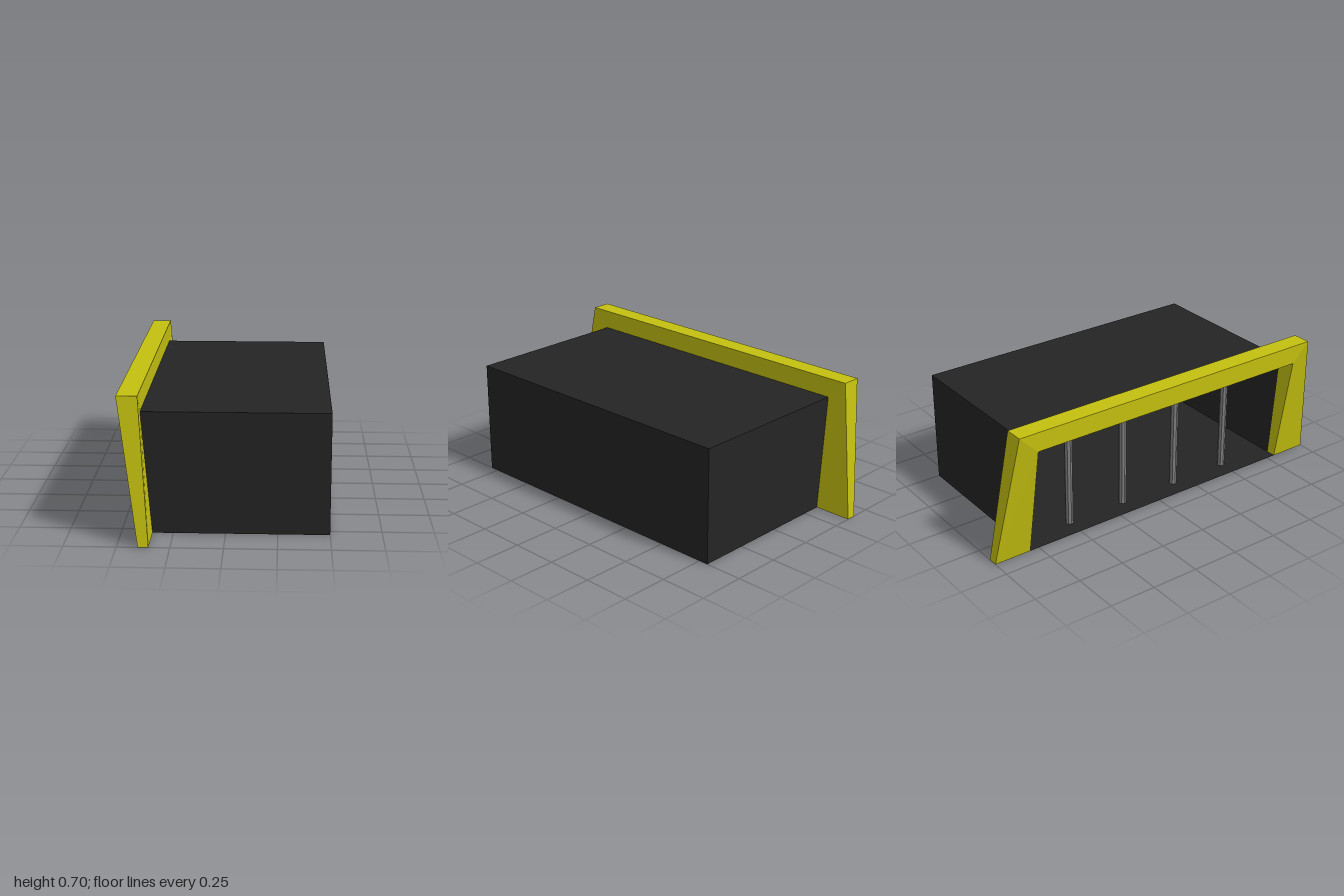
import * as THREE from 'three';

// Flat-shaded geometry from four-cornered faces; each list of quads becomes one material group
function quadGeometry(...lists) {
  const geo = new THREE.BufferGeometry();
  const pos = [];
  lists.forEach((quads, material) => {
    const start = pos.length / 3;
    for (const [a, b, c, d] of quads) pos.push(...a, ...b, ...c, ...a, ...c, ...d);
    geo.addGroup(start, pos.length / 3 - start, material);
  });
  geo.setAttribute('position', new THREE.Float32BufferAttribute(pos, 3));
  geo.computeVertexNormals();
  return geo;
}

export function createModel() {
  const yellow = new THREE.MeshStandardMaterial({ color: 0xc4c010 });
  yellow.name = 'yellow';
  const black = new THREE.MeshStandardMaterial({ color: 0x242424, side: THREE.DoubleSide });
  black.name = 'black';
  const grey = new THREE.MeshStandardMaterial({ color: 0x808080, flatShading: true });
  grey.name = 'grey';
  const model = new THREE.Group();
  model.name = 'barredBox';
  const add = (name, geo, material) => {
    const mesh = new THREE.Mesh(geo, material);
    mesh.name = name;
    model.add(mesh);
    return mesh;
  };

  // Leaning frame: cross-sections (outer front, outer back, inner back, inner front)
  // swept up one leg, across the top bar and down the other leg
  const foot = (s) => [[-0.4, 0, s], [-0.35, 0, s], [-0.35, 0, 0.8 * s], [-0.4, 0, 0.8 * s]];
  const corner = (s) => [[-0.5, 0.7, 0.9 * s], [-0.4, 0.7, 0.9 * s], [-0.4, 0.6, 0.8 * s], [-0.5, 0.6, 0.8 * s]];
  const sections = [foot(1), corner(1), corner(-1), foot(-1)];
  const sides = [];
  for (let i = 0; i < 3; i++) {
    for (let k = 0; k < 4; k++) {
      const n = (k + 1) % 4;
      sides.push([sections[i][k], sections[i][n], sections[i + 1][n], sections[i + 1][k]]);
    }
  }
  const soles = [foot(1).reverse(), foot(-1)];
  add('frame', quadGeometry(sides, soles), [yellow, black]);

  // Hollow box, open towards the frame
  const h = 0.6, w = 0.8, end = 0.5;
  const wall = (z) => [[-0.35, 0, z], [end, 0, z], [end, h, z], [-0.4, h, z]];
  add('box', quadGeometry([
    wall(w),
    wall(-w).reverse(),
    [[end, 0, w], [end, 0, -w], [end, h, -w], [end, h, w]],
    [[-0.4, h, w], [end, h, w], [end, h, -w], [-0.4, h, -w]],
    [[-0.4, 0, -w], [end, 0, -w], [end, 0, w], [-0.4, 0, w]],
  ]), black);

  // Upright bars just inside the opening
  const barGeo = new THREE.CylinderGeometry(0.02, 0.02, h - 0.002, 8);
  for (let i = 0; i < 4; i++) {
    add('bar' + (i + 1), barGeo, grey).position.set(-0.3, h / 2, -0.5 + i / 3);
  }
  return model;
}
